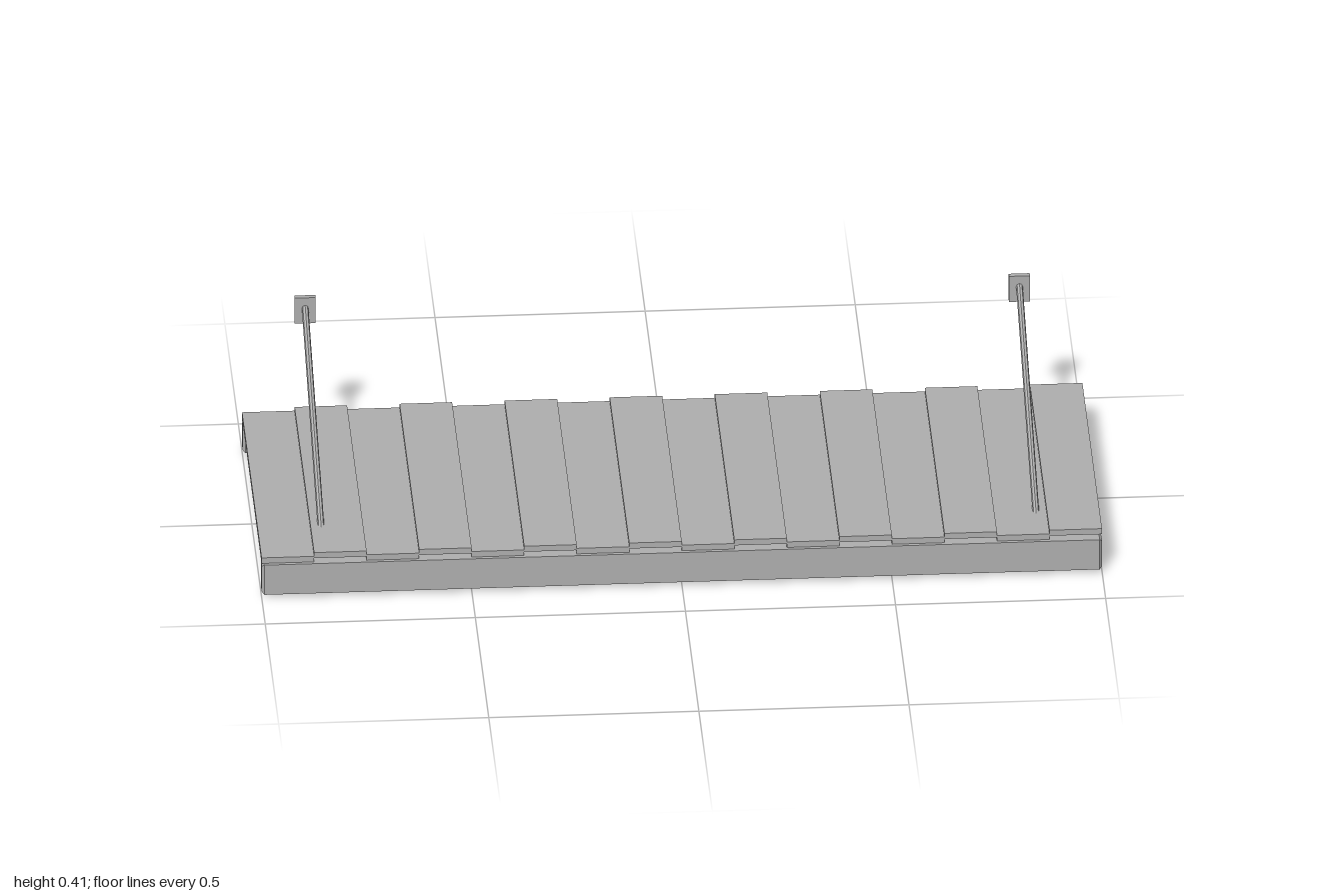
import * as THREE from 'three';

export function createModel() {
  const model = new THREE.Group();
  model.name = 'hangingDeck';
  const grey = new THREE.MeshStandardMaterial({ color: 0xb0b0b0, flatShading: true });
  grey.name = 'plain grey';

  const add = (name, geometry, x, y, z) => {
    const mesh = new THREE.Mesh(geometry, grey);
    mesh.name = name;
    mesh.position.set(x, y, z);
    model.add(mesh);
    return mesh;
  };
  // Box given by its extents on each axis
  const box = (name, x0, x1, y0, y1, z0, z1) =>
    add(name, new THREE.BoxGeometry(x1 - x0, y1 - y0, z1 - z0),
      (x0 + x1) / 2, (y0 + y1) / 2, (z0 + z1) / 2);

  // Long beams with bevelled edges and ends
  const bevel = 0.006, halfDepth = 0.019 - bevel, halfHeight = 0.04 - bevel;
  const section = new THREE.Shape([
    new THREE.Vector2(-halfDepth, -halfHeight), new THREE.Vector2(halfDepth, -halfHeight),
    new THREE.Vector2(halfDepth, halfHeight), new THREE.Vector2(-halfDepth, halfHeight),
  ]);
  const beam = new THREE.ExtrudeGeometry(section, {
    depth: 2 - 2 * bevel, bevelThickness: bevel, bevelSize: bevel, bevelSegments: 1,
  });
  beam.translate(0, 0, -(1 - bevel)).rotateY(Math.PI / 2);
  add('frontBeam', beam, 0, 0.05, 0.354);
  add('backBeam', beam, 0, 0.05, -0.354);

  // End and middle cross members
  for (const x of [-0.97, 0, 0.97])
    box('crossMember', x - 0.02, x + 0.02, 0.02, 0.08, -0.34, 0.34);

  // Rail under the frame
  box('underRail', -0.85, 0.85, 0, 0.02, -0.01, 0.01);

  // Planks, alternately low and raised
  for (let i = 0; i < 16; i++) {
    const x = -1 + i * 0.125, y = i % 2 ? 0.1 : 0.09;
    box(i % 2 ? 'raisedPlank' : 'lowPlank', x, x + 0.125, y, y + 0.015, -0.364, 0.364);
  }

  // Sloping stay rods with wall plates
  const up = new THREE.Vector3(0, 1, 0);
  for (const x of [-0.85, 0.85]) {
    const low = new THREE.Vector3(x, 0.094, 0.266);
    const high = new THREE.Vector3(x, 0.384, -0.364);
    const run = high.clone().sub(low);
    const mid = low.clone().add(high).multiplyScalar(0.5);
    const rod = add('stayRod', new THREE.CylinderGeometry(0.008, 0.008, run.length(), 8),
      mid.x, mid.y, mid.z);
    rod.quaternion.setFromUnitVectors(up, run.normalize());
    box('wallPlate', x - 0.025, x + 0.025, 0.342, 0.411, -0.373, -0.36);
  }
  return model;
}
